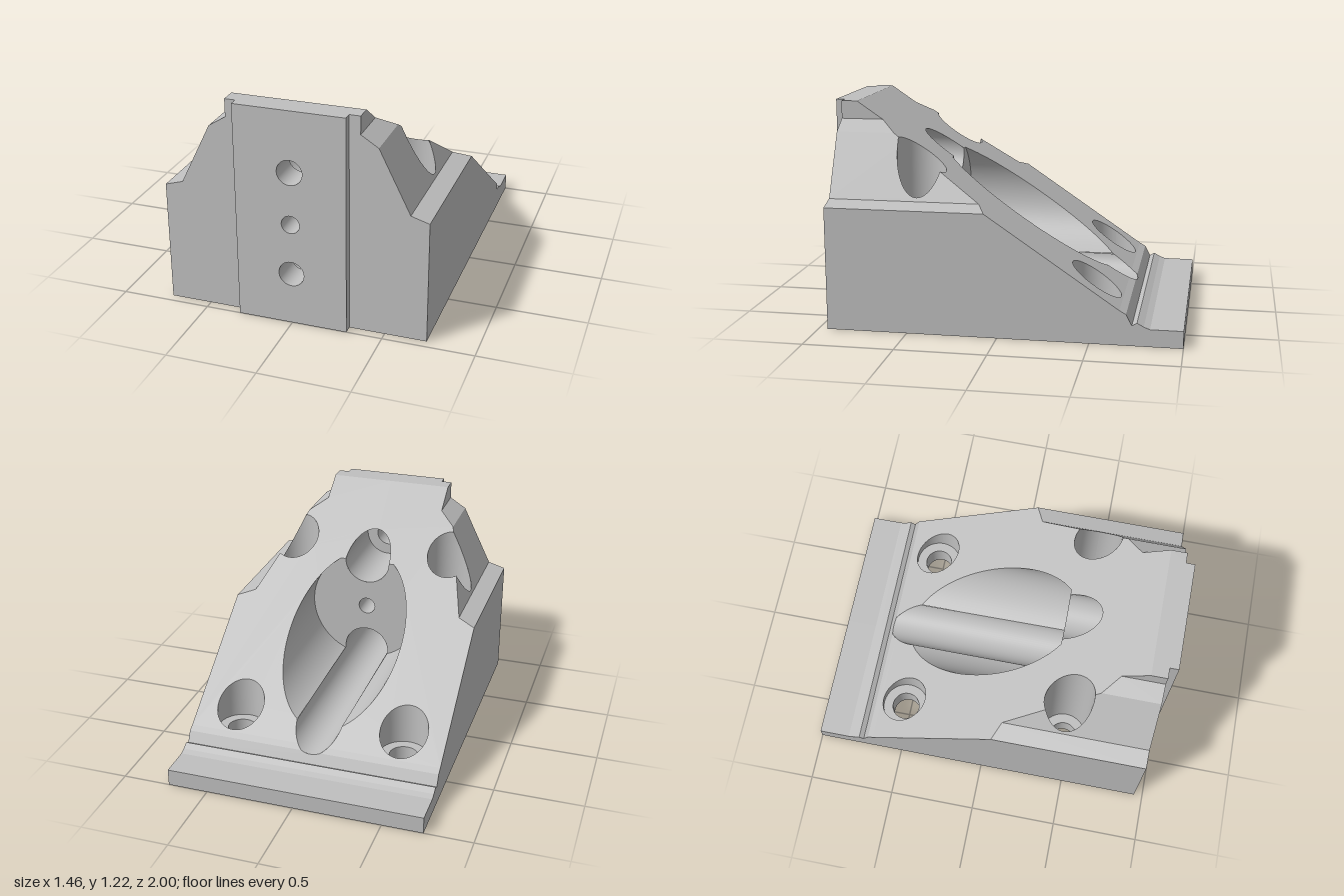
import * as THREE from 'three';

const steel = new THREE.MeshStandardMaterial({ color: 0xbfbfbf, side: THREE.DoubleSide });
steel.name = 'light grey metal';

// Side profile of the upper surface, as [z, y]
const PROFILE = [[-1, 0.096], [-0.823, 0.096], [-0.79, 0.108], [-0.754, 0.128], [-0.727, 0.112],
  [-0.695, 0.172], [-0.66, 0.192], [0.86, 1.22], [0.95, 1.22]];
const GRADE = (1.22 - 0.192) / 1.52;
const slopeY = z => 0.192 + (z + 0.66) * GRADE;
const slopeZ = y => y >= 0.192 ? (y - 0.192) / GRADE - 0.66
  : y >= 0.172 ? -0.695 + (y - 0.172) * 1.75 : -0.695 - (0.172 - y) * 0.533;

// Shoulder outline seen from the front, as [x, y]
const SHOULDER = [[0.73, 0.685], [0.63, 0.715], [0.46, 1.06], [0.365, 1.12], [0.365, 1.22]];
const flankY = x => 0.715 + (0.63 - x) * (0.345 / 0.17);

const W = 0.73, FRONT = 0.95, PAD = 0.305;
const WALL_Z = 0.36, BORE_END = 0.82;
const CAVITY = { y: 0.585, r: 0.34 }, LOW = 0.295, HIGH = 0.88;
const BORE_R = 0.135, BOLT_R = 0.07, PIN_R = 0.05;
const FOOT_R = 0.08, FOOT_FLOOR = 0.14, FOOT_X = 0.485, FOOT_Z = [-0.515, 0.46];

const arc = (cx, cy, r, a0, a1, n = 40) => Array.from({ length: n + 1 }, (_, i) => {
  const a = a0 + (a1 - a0) * i / n;
  return [cx + r * Math.cos(a), cy + r * Math.sin(a)];
});
const circle = (cx, cy, r) => arc(cx, cy, r, 0, Math.PI * 2, 64);
const rect = (x0, y0, x1, y1) => [[x0, y0], [x1, y0], [x1, y1], [x0, y1]];
const v2 = list => list.map(p => new THREE.Vector2(p[0], p[1]));

function add(group, name, geometry) {
  geometry.computeVertexNormals();
  const mesh = new THREE.Mesh(geometry, steel);
  mesh.name = name;
  group.add(mesh);
}

// Flat face: a 2D outline with holes, placed in space by a linear rule
function face(group, name, outline, holes, place) {
  const shape = new THREE.Shape(v2(outline));
  shape.holes = holes.map(h => new THREE.Path(v2(h)));
  const g = new THREE.ShapeGeometry(shape);
  const p = g.attributes.position;
  for (let i = 0; i < p.count; i++) p.setXYZ(i, ...place(p.getX(i), p.getY(i)));
  add(group, name, g);
}

// Wall ruled between two matching rows of points
function wall(group, name, rowA, rowB) {
  const pos = [], idx = [];
  rowA.forEach((a, i) => {
    pos.push(...a, ...rowB[i]);
    const k = i * 2;
    if (i) idx.push(k - 2, k, k - 1, k - 1, k, k + 1);
  });
  const g = new THREE.BufferGeometry();
  g.setAttribute('position', new THREE.Float32BufferAttribute(pos, 3));
  g.setIndex(idx);
  add(group, name, g);
}

// Where the large cavity meets the lower bore and the end wall
const reach = CAVITY.y - LOW;
const meetY = CAVITY.y - (reach ** 2 + CAVITY.r ** 2 - BORE_R ** 2) / (2 * reach);
const chordY = slopeY(WALL_Z);
const halfWidth = (cy, r, y) => Math.sqrt(Math.max(0, r * r - (y - cy) ** 2));

// Half outline of the opening in the slope, between two heights
function openingEdge(y0, y1, cy, r) {
  return Array.from({ length: 41 }, (_, i) => {
    const y = y0 + (y1 - y0) * (1 - Math.cos(Math.PI * i / 40)) / 2;
    return [halfWidth(cy, r, y), slopeZ(y)];
  });
}

function buildHalf() {
  const half = new THREE.Group();

  // Rear foot bore cuts the crease between slope and flank
  const A = [0.63, slopeZ(0.715)], B = [0.46, slopeZ(1.06)];
  const len = Math.hypot(B[0] - A[0], B[1] - A[1]);
  const dx = (B[0] - A[0]) / len, dz = (B[1] - A[1]) / len;
  const t = (FOOT_X - A[0]) * dx + (FOOT_Z[1] - A[1]) * dz;
  const gap = Math.hypot(A[0] + dx * t - FOOT_X, A[1] + dz * t - FOOT_Z[1]);
  const chord = Math.sqrt(BORE_R ** 2 - gap ** 2);
  const angleAt = s => Math.atan2(A[1] + dz * s - FOOT_Z[1], A[0] + dx * s - FOOT_X);
  const aIn = angleAt(t - chord), aOut = angleAt(t + chord);

  // Main slope with the cavity opening
  face(half, 'slope', [
    ...openingEdge(0.192, meetY, LOW, BORE_R),
    ...openingEdge(meetY, chordY, CAVITY.y, CAVITY.r),
    ...openingEdge(chordY, HIGH + BORE_R, HIGH, BORE_R),
    [0, 0.86], [0.365, 0.86], [0.365, slopeZ(1.12)], B,
    ...arc(FOOT_X, FOOT_Z[1], BORE_R, aOut, aIn + Math.PI * 2),
    A, [W, slopeZ(0.685)], [W, -0.66],
  ], [circle(FOOT_X, FOOT_Z[0], BORE_R)], (x, z) => [x, slopeY(z), z]);

  // Toe below the slope, notched by the lower bore
  PROFILE.slice(0, -2).forEach(([z0, y0], i) => {
    const [z1, y1] = PROFILE[i + 1];
    if (i > 5) return;
    const inner = i === 5 ? openingEdge(y0, y1, LOW, BORE_R)
      : i === 4 ? [[0, z0], ...openingEdge(LOW - BORE_R, y1, LOW, BORE_R)] : [[0, z0], [0, z1]];
    face(half, 'toe', [...inner, [W, z1], [W, z0]], [],
      (x, z) => [x, y0 + (y1 - y0) * (z - z0) / (z1 - z0), z]);
  });

  // Shoulder ledges and flank
  for (const i of [0, 2, 3]) {
    const [a, b] = [SHOULDER[i], SHOULDER[i + 1]];
    wall(half, 'shoulder', [[...a, slopeZ(a[1])], [...b, slopeZ(b[1])]], [[...a, FRONT], [...b, FRONT]]);
  }
  face(half, 'flank', [A, [0.63, FRONT], [0.46, FRONT], B,
    ...arc(FOOT_X, FOOT_Z[1], BORE_R, aOut, aIn)], [], (x, z) => [x, flankY(x), z]);

  // Outer side, front shoulder and step beside the front pad
  face(half, 'side', [[-1, 0], ...PROFILE.slice(0, 7), [slopeZ(0.685), 0.685], [FRONT, 0.685], [FRONT, 0]],
    [], (z, y) => [W, y, z]);
  face(half, 'frontShoulder', [[PAD, 0], [W, 0], ...SHOULDER, [PAD, 1.22]], [], (x, y) => [x, y, FRONT]);
  face(half, 'padSide', rect(FRONT, 0, 1, 1.22), [], (z, y) => [PAD, y, z]);

  // Cavity wall
  const a0 = Math.asin((meetY - CAVITY.y) / CAVITY.r), a1 = Math.asin((chordY - CAVITY.y) / CAVITY.r);
  const side = arc(0, CAVITY.y, CAVITY.r, a0, a1, 48);
  wall(half, 'cavityWall', side.map(([x, y]) => [x, y, slopeZ(y)]), side.map(([x, y]) => [x, y, WALL_Z]));

  // Cavity end wall, cut by both bores and the pin hole
  face(half, 'cavityEnd', [
    ...side,
    ...arc(0, HIGH, BORE_R, Math.asin((chordY - HIGH) / BORE_R), -Math.PI / 2),
    ...arc(0, CAVITY.y, PIN_R, Math.PI / 2, -Math.PI / 2),
    ...arc(0, LOW, BORE_R, Math.PI / 2, Math.asin((meetY - LOW) / BORE_R)),
  ], [], (x, y) => [x, y, WALL_Z]);

  // Counterbored foot holes
  for (const cz of FOOT_Z) {
    const rim = circle(FOOT_X, cz, BORE_R), hole = circle(FOOT_X, cz, FOOT_R);
    wall(half, 'footCounterbore', rim.map(([x, z]) => [x, Math.min(slopeY(z), flankY(x)), z]),
      rim.map(([x, z]) => [x, FOOT_FLOOR, z]));
    face(half, 'footSeat', rim, [hole], (x, z) => [x, FOOT_FLOOR, z]);
    wall(half, 'footHole', hole.map(([x, z]) => [x, FOOT_FLOOR, z]), hole.map(([x, z]) => [x, 0, z]));
  }
  return half;
}

export function createModel() {
  const model = new THREE.Group();
  model.name = 'wedgeBracket';
  const left = buildHalf();
  left.name = 'leftHalf';
  const right = left.clone();
  right.name = 'rightHalf';
  right.scale.x = -1;
  model.add(left, right);

  // Horizontal counterbores and bolt holes
  for (const cy of [LOW, HIGH]) {
    const rim = circle(0, cy, BORE_R), hole = circle(0, cy, BOLT_R);
    const start = (x, y) => Math.hypot(x, y - CAVITY.y) < CAVITY.r ? Math.max(WALL_Z, slopeZ(y)) : slopeZ(y);
    wall(model, 'boltCounterbore', rim.map(([x, y]) => [x, y, start(x, y)]), rim.map(([x, y]) => [x, y, BORE_END]));
    face(model, 'boltSeat', rim, [hole], (x, y) => [x, y, BORE_END]);
    wall(model, 'boltHole', hole.map(([x, y]) => [x, y, BORE_END]), hole.map(([x, y]) => [x, y, 1]));
  }
  const pin = circle(0, CAVITY.y, PIN_R);
  wall(model, 'pinHole', pin.map(([x, y]) => [x, y, WALL_Z]), pin.map(([x, y]) => [x, y, 1]));

  // Front pad, top, back and base
  face(model, 'frontPad', rect(-PAD, 0, PAD, 1.22),
    [pin, circle(0, LOW, BOLT_R), circle(0, HIGH, BOLT_R)], (x, y) => [x, y, 1]);
  const tee = y => [[-y, FRONT], [-PAD, FRONT], [-PAD, 1], [PAD, 1], [PAD, FRONT], [y, FRONT]];
  face(model, 'top', [[-0.365, 0.86], ...tee(0.365), [0.365, 0.86]], [], (x, z) => [x, 1.22, z]);
  face(model, 'back', rect(-W, 0, W, 0.096), [], (x, y) => [-x, y, -1]);
  face(model, 'base', [[-W, -1], ...tee(W), [W, -1]],
    [-1, 1].flatMap(s => FOOT_Z.map(z => circle(s * FOOT_X, z, FOOT_R))), (x, z) => [x, 0, z]);
  return model;
}
